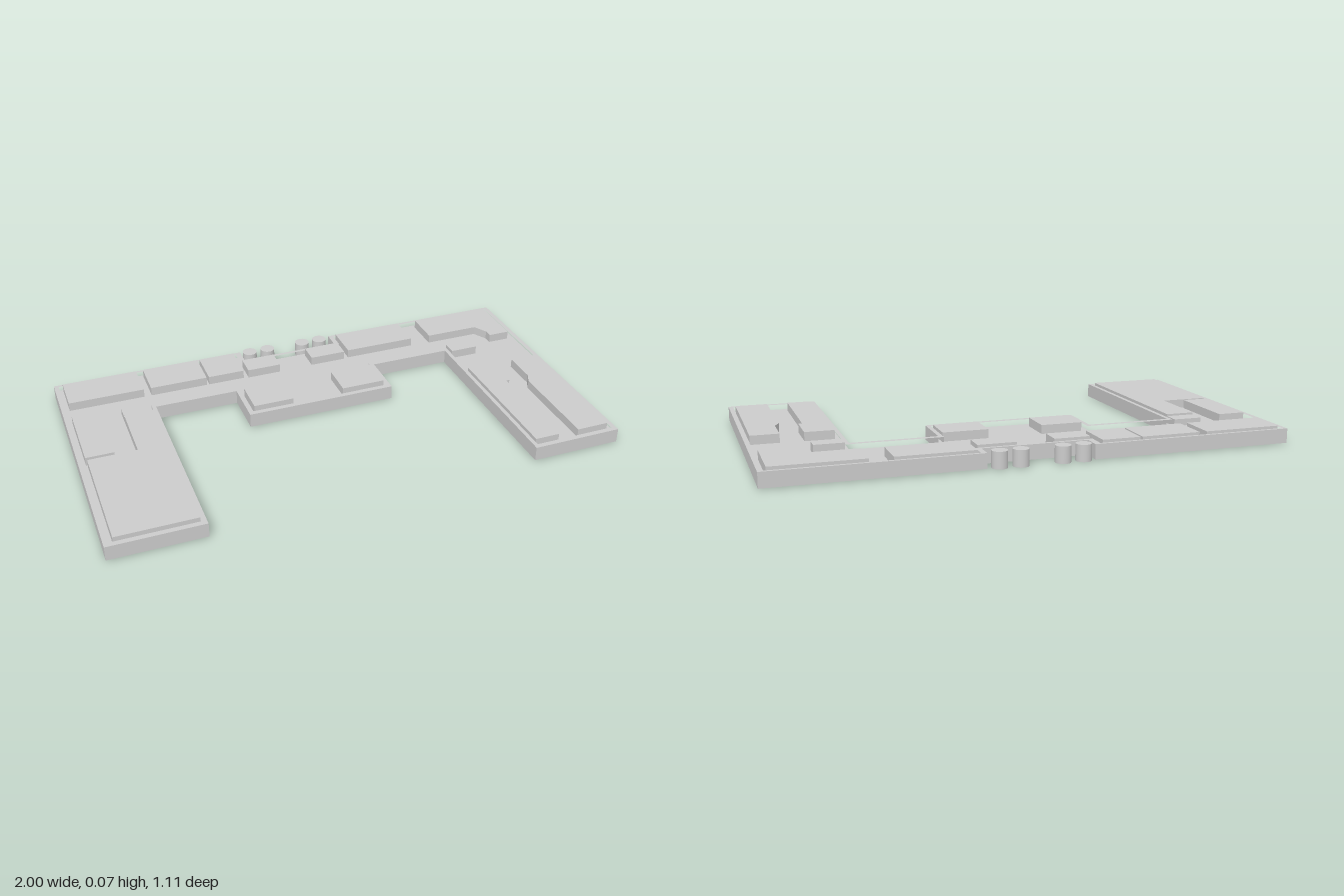
import * as THREE from 'three';

const material = new THREE.MeshStandardMaterial({ color: 0xcccccc });

// Plan outlines are lists of [x, z]
const toShape = (pts) => new THREE.Shape(pts.map(([x, z]) => new THREE.Vector2(x, -z)));
const rect = (x0, x1, z0, z1) => [[x0, z0], [x1, z0], [x1, z1], [x0, z1]];

// Raise a plan shape from y0 to y1
function slab(name, shape, y0, y1) {
  const geo = new THREE.ExtrudeGeometry(shape, { depth: y1 - y0, bevelEnabled: false });
  geo.rotateX(-Math.PI / 2);
  geo.translate(0, y0, 0);
  const mesh = new THREE.Mesh(geo, material);
  mesh.name = name;
  return mesh;
}

export function createModel() {
  const model = new THREE.Group();
  model.name = 'floorPlan';

  const BOTTOM = 0.003, FLOOR = 0.035, RIM = 0.06, ROOM = 0.07;

  const outer = [
    [-1, -0.54], [-0.2, -0.54], [-0.2, -0.47], [0.21, -0.47], [0.21, -0.54], [1, -0.54],
    [1, 0.55], [0.64, 0.55], [0.64, -0.24], [0.305, -0.24], [0.305, -0.05],
    [-0.305, -0.05], [-0.305, -0.24], [-0.64, -0.24], [-0.64, 0.55], [-1, 0.55],
  ];
  const inner = [
    [-0.982, -0.528], [-0.224, -0.528], [-0.224, -0.457], [0.23, -0.457], [0.23, -0.528], [0.982, -0.528],
    [0.982, 0.53], [0.656, 0.53], [0.656, -0.26], [0.288, -0.26], [0.288, -0.07],
    [-0.288, -0.07], [-0.288, -0.26], [-0.656, -0.26], [-0.656, 0.53], [-0.982, 0.53],
  ];

  // Floor and the low wall around it
  model.add(slab('floor', toShape(outer), BOTTOM, FLOOR));
  const rim = toShape(outer);
  rim.holes.push(toShape(inner));
  model.add(slab('outerWall', rim, FLOOR, RIM));

  // Raised room blocks
  const rooms = new THREE.Group();
  rooms.name = 'rooms';
  const plans = {
    backRoomCorner: rect(-0.965, -0.66, -0.525, -0.37),
    backRoomA: rect(-0.63, -0.395, -0.525, -0.37),
    backRoomB: rect(-0.385, -0.235, -0.525, -0.37),
    backRoomC: rect(-0.215, -0.075, -0.455, -0.365),
    backRoomD: rect(0.07, 0.22, -0.455, -0.37),
    backRoomE: rect(0.24, 0.54, -0.525, -0.375),
    cornerRoom: [[0.625, -0.52], [0.97, -0.52], [0.97, -0.28], [0.88, -0.28],
      [0.88, -0.315], [0.85, -0.37], [0.625, -0.37]],
    frontRoomRight: rect(-0.275, -0.11, -0.23, -0.09),
    frontRoomLeft: rect(0.105, 0.285, -0.23, -0.09),
    rightWingStore: rect(-0.97, -0.86, -0.27, 0.03),
    rightWingHall: [[-0.775, -0.205], [-0.66, -0.205], [-0.66, 0.52], [-0.965, 0.52],
      [-0.965, 0.045], [-0.775, 0.045]],
    leftWingInner: [[0.66, -0.06], [0.775, -0.06], [0.775, 0.09], [0.76, 0.09],
      [0.76, 0.51], [0.66, 0.51]],
    leftWingOuter: [[0.845, 0.51], [0.845, 0.125], [0.865, 0.085], [0.865, -0.055],
      [0.975, -0.055], [0.975, 0.51]],
    leftWingStore: rect(0.66, 0.775, -0.27, -0.21),
  };
  for (const [name, pts] of Object.entries(plans)) {
    rooms.add(slab(name, toShape(pts), FLOOR, ROOM));
  }
  rooms.add(slab('rightWingLobby', toShape(rect(-0.775, -0.66, -0.27, -0.205)), FLOOR, 0.062));
  model.add(rooms);

  // Columns standing in the rear entrance notch
  const columnGeo = new THREE.CylinderGeometry(0.03, 0.03, 0.064, 32);
  for (const x of [-0.16, -0.08, 0.08, 0.16]) {
    const column = new THREE.Mesh(columnGeo, material);
    column.name = 'column';
    column.position.set(x, 0.032, -0.525);
    model.add(column);
  }
  return model;
}
